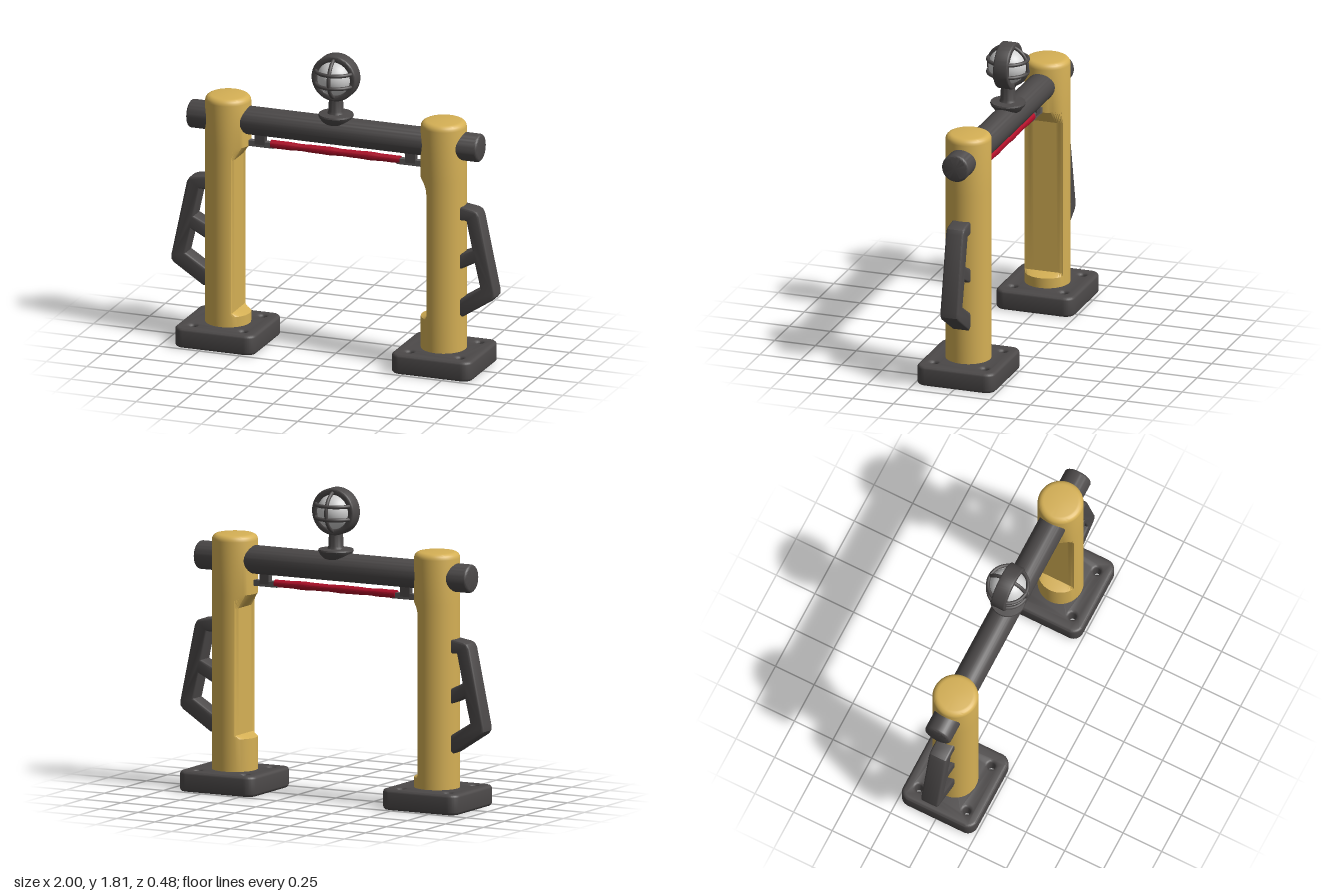
import * as THREE from 'three';
import { toCreasedNormals } from 'three/addons/utils/BufferGeometryUtils.js';

const V = (x, y) => new THREE.Vector2(x, y);

export function createModel() {
  const mat = (name, color) => {
    const m = new THREE.MeshStandardMaterial({ color });
    m.name = name;
    return m;
  };
  const dark = mat('dark steel', 0x4c4949);
  const yellow = mat('yellow paint', 0xd5b055);
  const red = mat('red padding', 0xb00f29);
  const glass = mat('pale glass', 0xcfcfcf);
  const grey = mat('grey metal', 0x5c5a5a);

  const root = new THREE.Group();
  const add = (parent, name, geo, material, x = 0, y = 0, z = 0) => {
    const m = new THREE.Mesh(geo, material);
    m.name = name;
    m.position.set(x, y, z);
    parent.add(m);
    return m;
  };
  const crease = (g, a = 0.6) => toCreasedNormals(g, a);

  // Solid of revolution with rounded rims, running from y0 to y1
  const roundedRod = (r, y0, y1, c, seg = 48) => {
    const pts = [V(0, y0)];
    for (let i = 0; i <= 5; i++) {
      const a = (i / 5) * Math.PI / 2;
      pts.push(V(r - c + c * Math.sin(a), y0 + c - c * Math.cos(a)));
    }
    for (let i = 5; i >= 0; i--) {
      const a = (i / 5) * Math.PI / 2;
      pts.push(V(r - c + c * Math.sin(a), y1 - c + c * Math.cos(a)));
    }
    pts.push(V(0, y1));
    return new THREE.LatheGeometry(pts, seg);
  };

  // Extrusion with rounded edges that stays inside its outline, centred in depth
  const slab = (shape, depth, b) => {
    const g = new THREE.ExtrudeGeometry(shape, {
      depth: depth - 2 * b, bevelThickness: b, bevelSize: b, bevelOffset: -b,
      bevelSegments: 3, curveSegments: 10,
    });
    g.translate(0, 0, -depth / 2 + b);
    return crease(g);
  };

  // Post: round column whose inner side is cut flat between two heights
  const postGeometry = (low, high) => {
    const pts = [V(0, 0.1), V(0.133, 0.1), V(0.133, low - 0.02), V(0.133, low),
      V(0.133, high - 0.08), V(0.133, high), V(0.133, 1.46)];
    for (let i = 1; i <= 5; i++) {
      const a = (i / 5) * Math.PI / 2;
      pts.push(V(0.098 + 0.035 * Math.cos(a), 1.46 + 0.035 * Math.sin(a)));
    }
    pts.push(V(0, 1.5));
    const g = new THREE.LatheGeometry(pts, 64);
    const p = g.attributes.position;
    for (let i = 0; i < p.count; i++) {
      const y = p.getY(i);
      if (y > low - 0.01 && y < high - 0.04) p.setX(i, Math.max(p.getX(i), -0.063));
    }
    return crease(g, 0.5);
  };

  // Base plate outline with four bolt holes
  const plate = new THREE.Shape();
  const w = 0.25, d = 0.24, r = 0.06;
  plate.moveTo(-w + r, -d);
  plate.lineTo(w - r, -d).absarc(w - r, -d + r, r, -Math.PI / 2, 0);
  plate.lineTo(w, d - r).absarc(w - r, d - r, r, 0, Math.PI / 2);
  plate.lineTo(-w + r, d).absarc(-w + r, d - r, r, Math.PI / 2, Math.PI);
  plate.lineTo(-w, -d + r).absarc(-w + r, -d + r, r, Math.PI, Math.PI * 1.5);
  for (const x of [-0.155, 0.155]) for (const z of [-0.155, 0.155]) {
    plate.holes.push(new THREE.Path().absarc(x, z, 0.021, 0, Math.PI * 2, true));
  }

  // Bent handle with a short middle strut
  const handle = new THREE.Shape([
    [0.74, 0.37], [0.8, 0.33], [0.985, 0.45], [1, 0.47], [1, 0.5], [0.905, 0.95], [0.89, 0.975],
    [0.865, 0.985], [0.8, 0.995], [0.74, 0.995], [0.74, 0.915], [0.825, 0.915], [0.862, 0.745],
    [0.8, 0.715], [0.74, 0.69], [0.74, 0.6], [0.8, 0.625], [0.877, 0.665], [0.912, 0.515],
    [0.8, 0.445], [0.74, 0.41],
  ].map(([x, y]) => V(x, y)));

  // Both ends of the gate; the second is turned half round
  for (const [name, low, high, turn] of [['left', 0.33, 1.15, 0], ['right', 0.2, 1.2, Math.PI]]) {
    const side = new THREE.Group();
    side.name = name + 'Side';
    side.rotation.y = turn;
    root.add(side);
    add(side, 'basePlate', slab(plate, 0.12, 0.018), dark, 0.67, 0.06).rotation.x = -Math.PI / 2;
    add(side, 'post', postGeometry(low, high), yellow, 0.667);
    add(side, 'handle', slab(handle, 0.11, 0.012), dark);
    add(side, 'padBracket', new THREE.BoxGeometry(0.06, 0.07, 0.04), dark, 0.465, 1.25);
    add(side, 'padRodEnd', new THREE.BoxGeometry(0.17, 0.034, 0.034), grey, 0.465, 1.217);
  }

  // Crossbar
  add(root, 'crossbar', crease(roundedRod(0.083, -0.9, 0.9, 0.018)), dark, 0, 1.352).rotation.z = Math.PI / 2;

  // Slightly uneven padding under the crossbar
  const pad = new THREE.CylinderGeometry(0.023, 0.023, 0.8, 20, 24);
  const pp = pad.attributes.position;
  for (let i = 0; i < pp.count; i++) {
    const k = 1 + 0.07 * Math.sin(pp.getY(i) * 23) + 0.04 * Math.sin(pp.getY(i) * 51);
    pp.setX(i, pp.getX(i) * k);
    pp.setZ(i, pp.getZ(i) * k);
  }
  add(root, 'padding', crease(pad), red, 0, 1.223).rotation.z = Math.PI / 2;

  // Lamp
  const lamp = new THREE.Group();
  lamp.name = 'lamp';
  lamp.position.y = 1.677;
  root.add(lamp);
  const collar = [[0, 1.375], [0.045, 1.385], [0.075, 1.405], [0.095, 1.43], [0.103, 1.447],
    [0.1, 1.456], [0.05, 1.46], [0.043, 1.475], [0.041, 1.56], [0, 1.56]];
  add(lamp, 'lampStem', crease(new THREE.LatheGeometry(collar.map(([x, y]) => V(x, y)), 36)), dark, 0, -1.677);
  const ring = new THREE.Shape().absarc(0, 0, 0.137, 0, Math.PI * 2);
  ring.holes.push(new THREE.Path().absarc(0, 0, 0.1, 0, Math.PI * 2, true));
  const ringGeo = new THREE.ExtrudeGeometry(ring, {
    depth: 0.07, bevelThickness: 0.01, bevelSize: 0.01, bevelOffset: -0.01, bevelSegments: 3, curveSegments: 32,
  });
  ringGeo.translate(0, 0, -0.035);
  add(lamp, 'lampRing', crease(ringGeo), dark);
  const bulb = new THREE.SphereGeometry(0.115, 36, 24);
  bulb.scale(0.93, 0.93, 1);
  add(lamp, 'lampGlass', bulb, glass);

  // Cage of one upright and two level hoops
  add(lamp, 'cageUpright', new THREE.TorusGeometry(0.119, 0.011, 10, 48), dark).rotation.y = Math.PI / 2;
  for (const y of [-0.037, 0.04]) {
    add(lamp, 'cageHoop', new THREE.TorusGeometry(0.116, 0.011, 10, 48), dark, 0, y).rotation.x = Math.PI / 2;
  }
  return root;
}
